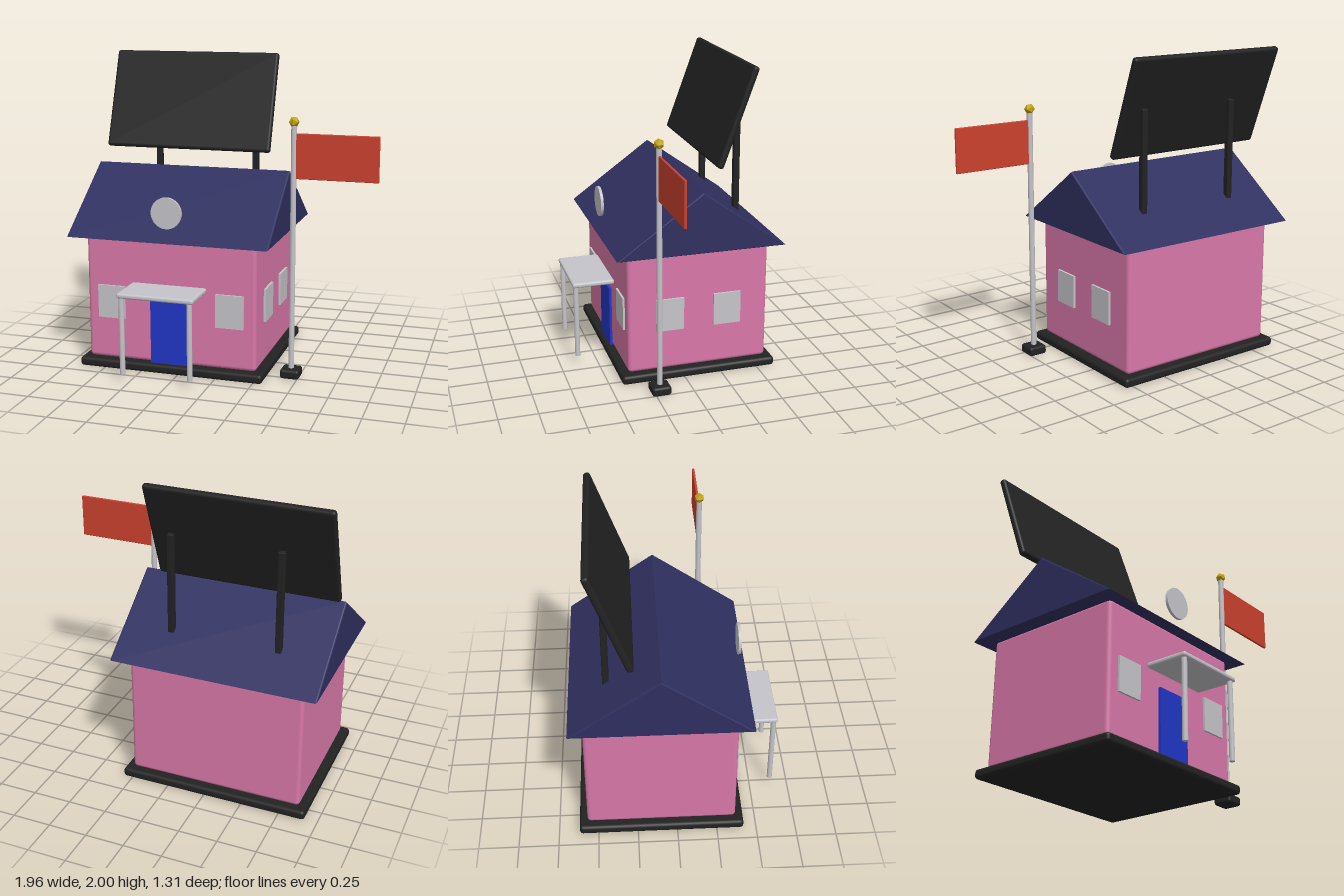
import * as THREE from 'three';
import { RoundedBoxGeometry } from 'three/addons/geometries/RoundedBoxGeometry.js';

const material = (name, color) => {
  const m = new THREE.MeshStandardMaterial({ color });
  m.name = name;
  return m;
};

export function createModel() {
  const model = new THREE.Group();
  model.name = 'house';
  const pink = material('pinkWall', 0xd878a8);
  const navy = material('navyRoof', 0x2f2f60);
  const black = material('blackPanel', 0x222222);
  const red = material('redFlag', 0xcc412e);
  const blue = material('blueDoor', 0x2036c6);
  const grey = material('paleGrey', 0xc4c4ca);
  const gold = material('goldFinial', 0xc4a30c);

  const add = (name, geometry, mat, x, y, z) => {
    const mesh = new THREE.Mesh(geometry, mat);
    mesh.name = name;
    mesh.position.set(x, y, z);
    model.add(mesh);
    return mesh;
  };
  // Boxes are given by their lower and upper corners; r rounds the edges
  const box = (name, mat, [x0, y0, z0], [x1, y1, z1], r = 0) => {
    const size = [x1 - x0, y1 - y0, z1 - z0];
    const geometry = r ? new RoundedBoxGeometry(...size, 3, r) : new THREE.BoxGeometry(...size);
    return add(name, geometry, mat, (x0 + x1) / 2, (y0 + y1) / 2, (z0 + z1) / 2);
  };

  // Foundation and walls
  box('foundation', black, [-0.92, 0.005, -0.62], [0.31, 0.065, 0.42], 0.022);
  box('walls', pink, [-0.87, 0.065, -0.57], [0.26, 0.89, 0.37], 0.025);

  // Gabled roof with slightly softened ends
  const bevel = 0.01;
  const gable = new THREE.Shape();
  gable.moveTo(-0.555, 0);
  gable.lineTo(0.555, 0);
  gable.lineTo(0, 0.4);
  gable.closePath();
  const roof = new THREE.ExtrudeGeometry(gable, {
    depth: 1.325 - 2 * bevel, bevelEnabled: true, bevelSize: bevel,
    bevelOffset: -bevel, bevelThickness: bevel, bevelSegments: 2,
  });
  roof.rotateY(Math.PI / 2);
  add('roof', roof, navy, -0.97 + bevel, 0.877, -0.1);

  // Round gable window in front of the roof slope
  const disc = new THREE.CylinderGeometry(0.1, 0.1, 0.018, 48).rotateX(Math.PI / 2);
  add('roundWindow', disc, grey, -0.308, 1.063, 0.412);

  // Windows on the front and on the left side
  for (const x of [-0.702, 0.09])
    box('frontWindow', grey, [x - 0.092, 0.34, 0.36], [x + 0.092, 0.557, 0.383]);
  for (const z of [0.092, -0.292])
    box('sideWindow', grey, [0.25, 0.34, z - 0.092], [0.275, 0.557, z + 0.092]);

  // Door and porch
  box('door', blue, [-0.435, 0.065, 0.36], [-0.183, 0.48, 0.387]);
  box('porchRoof', grey, [-0.556, 0.562, 0.378], [-0.057, 0.594, 0.656], 0.013);
  for (const x of [-0.53, -0.087])
    add('porchPost', new THREE.CylinderGeometry(0.017, 0.017, 0.505, 16), grey, x, 0.32, 0.632);

  // Tilted billboard on two posts
  const board = add('billboard', new RoundedBoxGeometry(1.155, 0.68, 0.044, 3, 0.018), black, -0.402, 1.68, -0.385);
  board.rotation.x = -0.351;
  for (const x of [-0.656, 0.038])
    box('billboardPost', black, [x - 0.02, 0.9, -0.44], [x + 0.02, 1.68, -0.4], 0.006);

  // Flagpole, finial and flag
  const px = 0.452, pz = 0.215;
  box('flagpoleBase', black, [px - 0.062, 0.005, pz - 0.062], [px + 0.062, 0.065, pz + 0.062], 0.018);
  add('flagpole', new THREE.CylinderGeometry(0.018, 0.018, 1.57, 12), grey, px, 0.835, pz);
  const finial = new THREE.IcosahedronGeometry(0.034, 0);
  add('finial', finial, gold, px, 1.636, pz);
  box('flag', red, [px + 0.01, 1.286, pz - 0.008], [0.978, 1.567, pz + 0.008], 0.004);

  return model;
}
